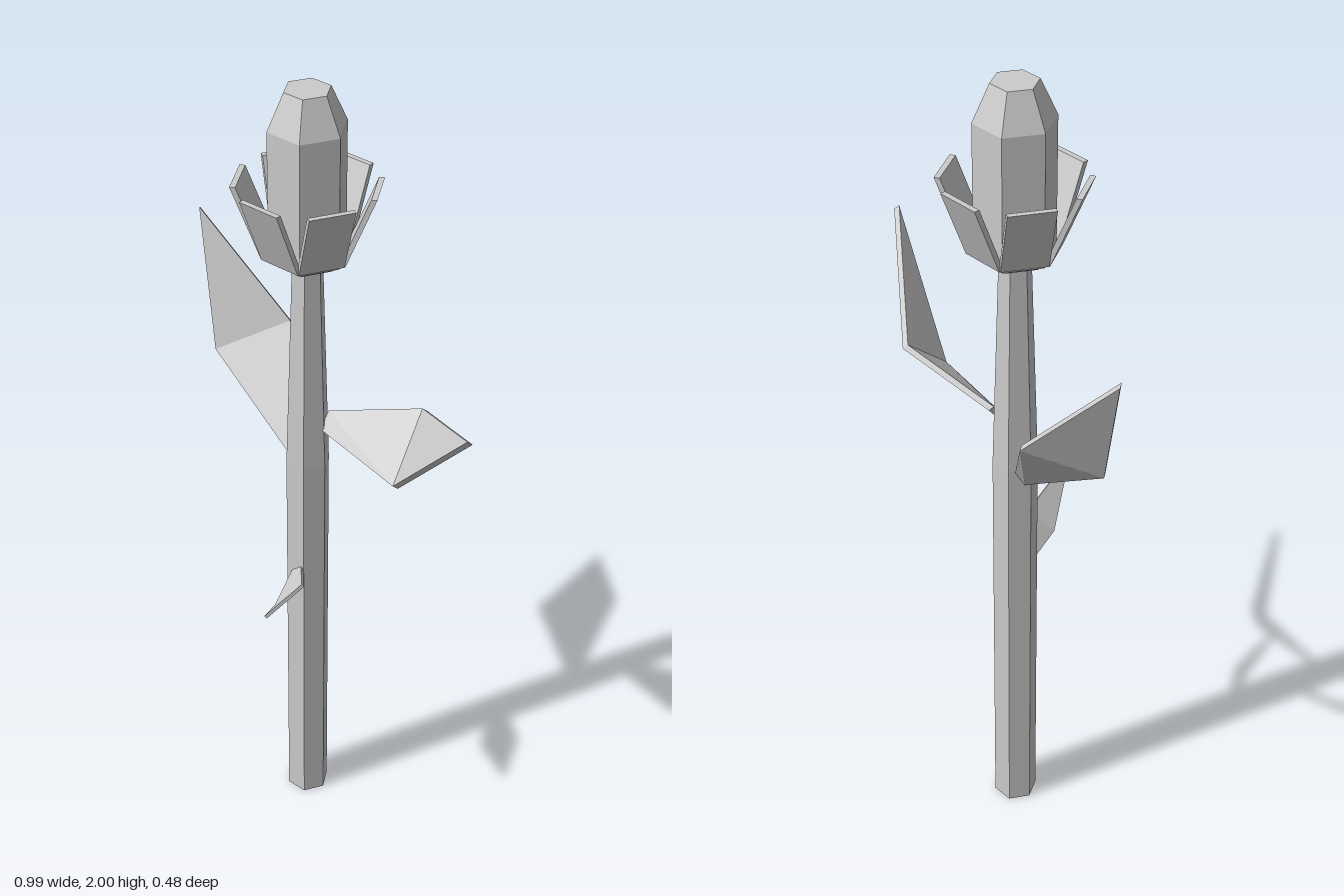
import * as THREE from 'three';

const material = new THREE.MeshStandardMaterial({ color: 0xcccccc, flatShading: true });

function addMesh(parent, name, geometry) {
  const mesh = new THREE.Mesh(geometry, material);
  mesh.name = name;
  parent.add(mesh);
  return mesh;
}

// Six-sided solid of revolution; profile is [radius, y] from bottom to top
function hexLathe(profile) {
  const points = profile.map(([r, y]) => new THREE.Vector2(r, y));
  return new THREE.LatheGeometry(points, 6, Math.PI / 6);
}

// Folded leaf plate: five outline corners (two root, two middle, one tip at index 3)
function leafGeometry(corners, thickness) {
  const front = corners.map((c) => new THREE.Vector3(...c));
  const faces = [[0, 1, 2], [0, 2, 4], [2, 3, 4]];
  const normal = new THREE.Vector3();
  for (const [a, b, c] of faces) {
    const ab = front[b].clone().sub(front[a]);
    normal.add(ab.cross(front[c].clone().sub(front[a])));
  }
  normal.normalize();
  const back = front.map((p) => p.clone().addScaledVector(normal, -thickness));
  const index = [];
  for (const [a, b, c] of faces) index.push(a, b, c, a + 5, c + 5, b + 5);
  for (let i = 0; i < 5; i++) {
    const j = (i + 1) % 5;
    index.push(i, i + 5, j, j, i + 5, j + 5);
  }
  const geometry = new THREE.BufferGeometry().setFromPoints([...front, ...back]);
  geometry.setIndex(index);
  geometry.computeVertexNormals();
  return geometry;
}

// Sepal: a thin box whose top is pushed outwards
function sepalGeometry() {
  const geometry = new THREE.BoxGeometry(0.105, 0.17, 0.013);
  const pos = geometry.attributes.position;
  for (let i = 0; i < pos.count; i++) {
    const t = pos.getY(i) / 0.17 + 0.5;
    pos.setZ(i, pos.getZ(i) + 0.087 + 0.067 * t);
  }
  geometry.translate(0, 1.695 + 0.0015, 0);
  geometry.computeVertexNormals();
  return geometry;
}

export function createModel() {
  const group = new THREE.Group();
  group.name = 'flower';

  // Stem and flower head share one axis
  const axis = new THREE.Group();
  axis.name = 'stemAndHead';
  axis.position.set(-0.07, 0, -0.067);
  group.add(axis);

  addMesh(axis, 'stem', hexLathe([[0, 0], [0.053, 0], [0.053, 1.05], [0.036, 1.6], [0, 1.6]]));
  addMesh(axis, 'calyx', hexLathe([[0, 1.587], [0.07, 1.587], [0.107, 1.615], [0, 1.615]]));
  addMesh(axis, 'bud', hexLathe([[0, 1.6], [0.091, 1.6], [0.091, 1.915], [0.053, 2], [0, 2]]));

  const sepal = sepalGeometry();
  for (let i = 0; i < 6; i++) {
    addMesh(axis, `sepal${i + 1}`, sepal).rotation.y = (i * Math.PI) / 3;
  }

  // Leaves growing from the stem
  addMesh(group, 'leftLeaf', leafGeometry([
    [-0.03, 1.19, -0.095], [-0.03, 1.153, -0.065], [0.23, 1.145, -0.01],
    [0.485, 1.43, 0.072], [0.2, 1.27, -0.15],
  ], 0.015));
  addMesh(group, 'rightLeaf', leafGeometry([
    [-0.11, 1.015, -0.07], [-0.105, 1.06, -0.095], [-0.265, 1.275, -0.23],
    [-0.495, 1.525, -0.17], [-0.39, 1.205, -0.1],
  ], 0.013));
  addMesh(group, 'smallFrontLeaf', leafGeometry([
    [-0.06, 0.755, -0.03], [-0.085, 0.733, -0.03], [-0.03, 0.727, 0.1],
    [0.062, 0.833, 0.24], [0.015, 0.785, 0.055],
  ], 0.008));

  return group;
}
